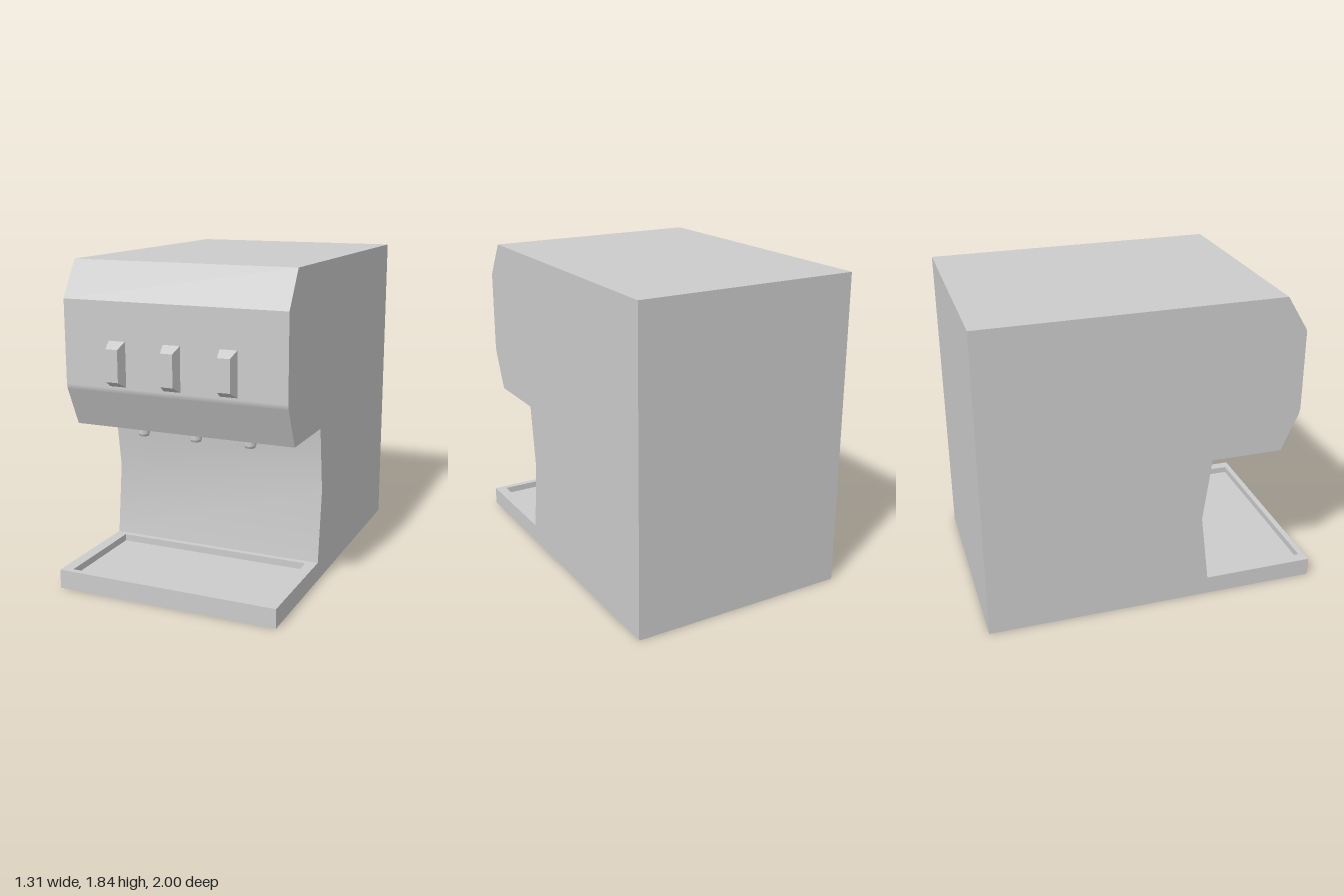
import * as THREE from 'three';

const HALF = 0.655; // half the body width

export function createModel() {
  const group = new THREE.Group();
  const grey = new THREE.MeshStandardMaterial({ color: 0xcccccc });
  const shell = new THREE.MeshStandardMaterial({ color: 0xcccccc, side: THREE.DoubleSide });

  function add(name, geometry, material, x = 0, y = 0, z = 0) {
    const mesh = new THREE.Mesh(geometry, material);
    mesh.name = name;
    mesh.position.set(x, y, z);
    group.add(mesh);
    return mesh;
  }

  // Sheet across the full width following [z, y] points, smooth along its run
  function sheet(points) {
    const pos = [], index = [];
    points.forEach(([z, y], i) => {
      pos.push(-HALF, y, z, HALF, y, z);
      if (i > 0) {
        const a = 2 * i - 2;
        index.push(a, a + 1, a + 3, a, a + 3, a + 2);
      }
    });
    const g = new THREE.BufferGeometry();
    g.setAttribute('position', new THREE.Float32BufferAttribute(pos, 3));
    g.setIndex(index);
    g.computeVertexNormals();
    return g;
  }

  // Side profile as [z, y], with an open underside
  const trayFront = [[1, 0], [1, 0.11]];
  const splashback = [[0.33, 0.11], [0.28, 0.53], [0.33, 0.91]];
  const overhang = [[0.33, 0.91], [0.75, 0.91]];
  const lowerBevel = [[0.75, 0.91], [0.848, 1.13]];
  const lowerCorner = [[0.848, 1.13], [0.855, 1.16]];
  const face = [[0.855, 1.16], [0.855, 1.635]];
  const upperBevel = [[0.855, 1.635], [0.73, 1.84]];
  const top = [[0.73, 1.84], [-1, 1.84]];
  const back = [[-1, 1.84], [-1, 0]];

  add('trayFront', sheet(trayFront), shell);
  add('splashback', sheet(splashback), shell);
  add('overhangUnderside', sheet(overhang), shell);
  add('frontPanel', sheet([...lowerBevel, ...lowerCorner.slice(1), ...face.slice(1)]), shell);
  add('upperBevel', sheet(upperBevel), shell);
  add('topPanel', sheet(top), shell);
  add('backPanel', sheet(back), shell);

  // Keep the front panel flat except across its small lower corner
  const normals = group.getObjectByName('frontPanel').geometry.attributes.normal;
  const bevelNormal = new THREE.Vector3(0, -0.098, 0.22).normalize();
  [bevelNormal, bevelNormal, new THREE.Vector3(0, 0, 1), new THREE.Vector3(0, 0, 1)].forEach((n, i) => {
    normals.setXYZ(2 * i, n.x, n.y, n.z);
    normals.setXYZ(2 * i + 1, n.x, n.y, n.z);
  });

  // Side panels
  const outline = [trayFront, splashback, overhang, lowerBevel, lowerCorner, face, upperBevel, top, back].flat();
  const sideShape = new THREE.Shape(
    outline.map(([z, y]) => new THREE.Vector2(z, y))
      .filter((p, i, all) => i === 0 || !p.equals(all[i - 1])));
  for (const [name, x] of [['leftPanel', HALF], ['rightPanel', -HALF]]) {
    add(name, new THREE.ShapeGeometry(sideShape).rotateY(-Math.PI / 2), shell, x);
  }

  // Drip tray: rim with an opening, recess walls and floor
  const rect = (T, x, z0, z1) => new T([[-x, -z1], [x, -z1], [x, -z0], [-x, -z0]]
    .map(([a, b]) => new THREE.Vector2(a, b)));
  const inX = 0.59, z0 = 0.365, z1 = 0.965, depth = 0.04;
  const rim = rect(THREE.Shape, HALF, 0.33, 1);
  rim.holes.push(rect(THREE.Path, inX, z0, z1));
  add('trayRim', new THREE.ShapeGeometry(rim).rotateX(-Math.PI / 2), shell, 0, 0.11);
  const midZ = (z0 + z1) / 2, floorY = 0.11 - depth;
  add('trayFloor', new THREE.PlaneGeometry(2 * inX, z1 - z0).rotateX(-Math.PI / 2), shell, 0, floorY, midZ);
  for (const s of [-1, 1]) {
    add('trayEndWall', new THREE.PlaneGeometry(z1 - z0, depth).rotateY(-s * Math.PI / 2),
      shell, s * inX, floorY + depth / 2, midZ);
    add('trayLongWall', new THREE.PlaneGeometry(2 * inX, depth).rotateY(s > 0 ? Math.PI : 0),
      shell, 0, floorY + depth / 2, s > 0 ? z1 : z0);
  }

  // Button: box whose front face is drawn in on all sides
  const button = new THREE.BoxGeometry(0.1, 0.25, 0.063);
  const p = button.attributes.position;
  for (let i = 0; i < p.count; i++) {
    if (p.getZ(i) > 0) p.setXY(i, p.getX(i) * 0.72, p.getY(i) * 0.72);
  }
  button.computeVertexNormals();

  // Nozzle: short spout with a chamfered tip; doubled points keep edges crisp
  const nozzle = new THREE.LatheGeometry(
    [[0, 0], [0.028, 0], [0.028, 0], [0.035, 0.014], [0.035, 0.014], [0.035, 0.09]]
      .map(([r, y]) => new THREE.Vector2(r, y)), 24);

  for (const i of [-1, 0, 1]) {
    add('button', button, grey, i * 0.327 - 0.002, 1.295, 0.8865);
    add('nozzle', nozzle, shell, i * 0.332 - 0.012, 0.82, 0.547);
  }
  return group;
}
